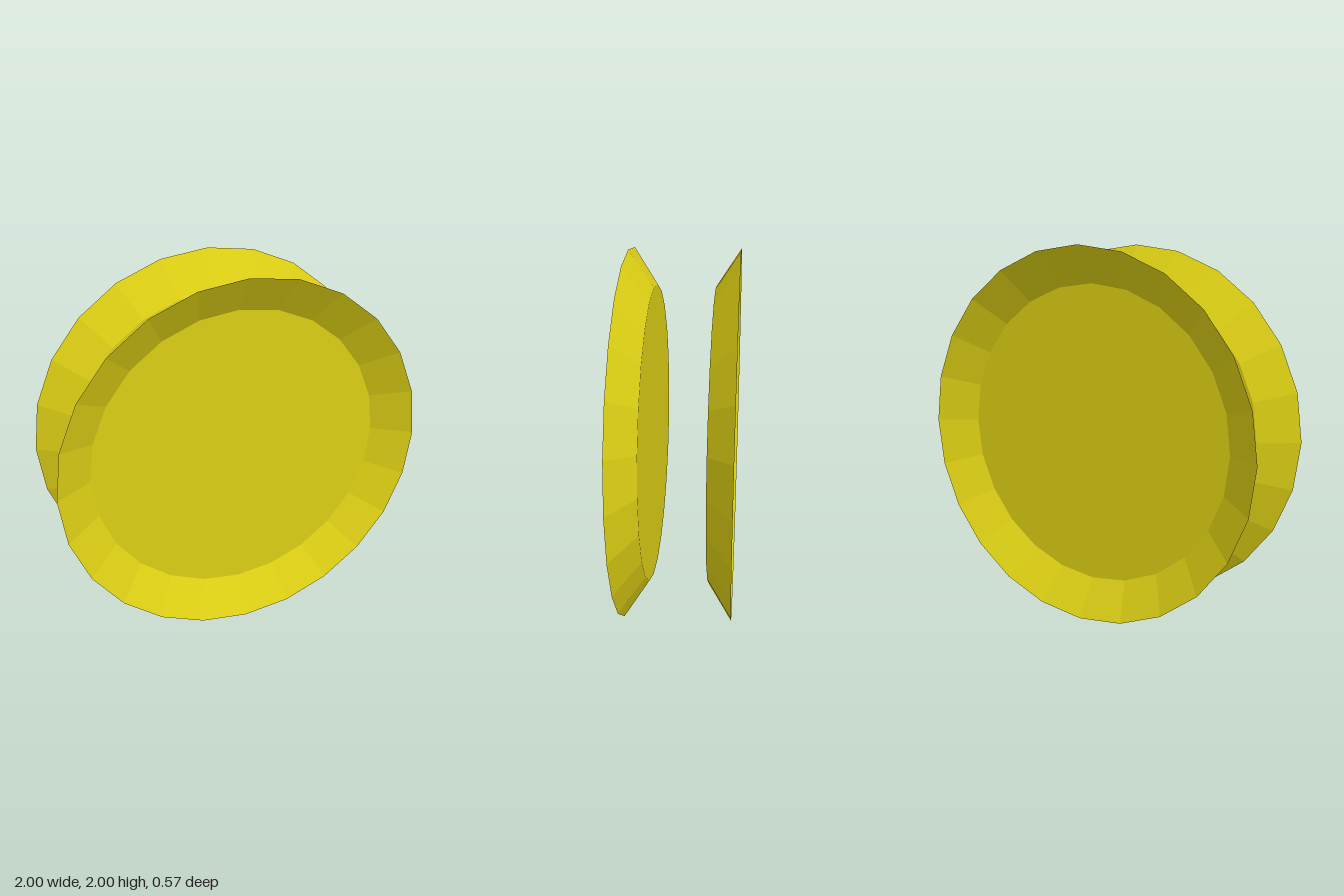
import * as THREE from 'three';

const SIDES = 24;
const RIM_RADIUS = 1;
const DISC_RADIUS = 0.805;
const RIM_Z = 0.286;
const DISC_Z = 0.159;

// One shallow dish opening towards +z: flat disc plus flared rim
function createDish(material) {
  const dish = new THREE.Group();

  const disc = new THREE.Mesh(new THREE.CircleGeometry(DISC_RADIUS, SIDES), material);
  disc.name = 'disc';
  disc.position.z = DISC_Z;

  const rimGeometry = new THREE.CylinderGeometry(RIM_RADIUS, DISC_RADIUS, RIM_Z - DISC_Z, SIDES, 1, true);
  rimGeometry.rotateX(Math.PI / 2);
  const rim = new THREE.Mesh(rimGeometry, material);
  rim.name = 'flaredRim';
  rim.position.z = (RIM_Z + DISC_Z) / 2;

  dish.add(disc, rim);
  return dish;
}

export function createModel() {
  const model = new THREE.Group();
  model.name = 'dishPair';
  const material = new THREE.MeshStandardMaterial({
    color: 0xdccf14,
    flatShading: true,
    side: THREE.DoubleSide,
  });

  // Two dishes back to back
  ['frontDish', 'backDish'].forEach((name, i) => {
    const dish = createDish(material);
    dish.name = name;
    dish.position.y = RIM_RADIUS;
    dish.rotation.y = i * Math.PI;
    model.add(dish);
  });

  return model;
}
